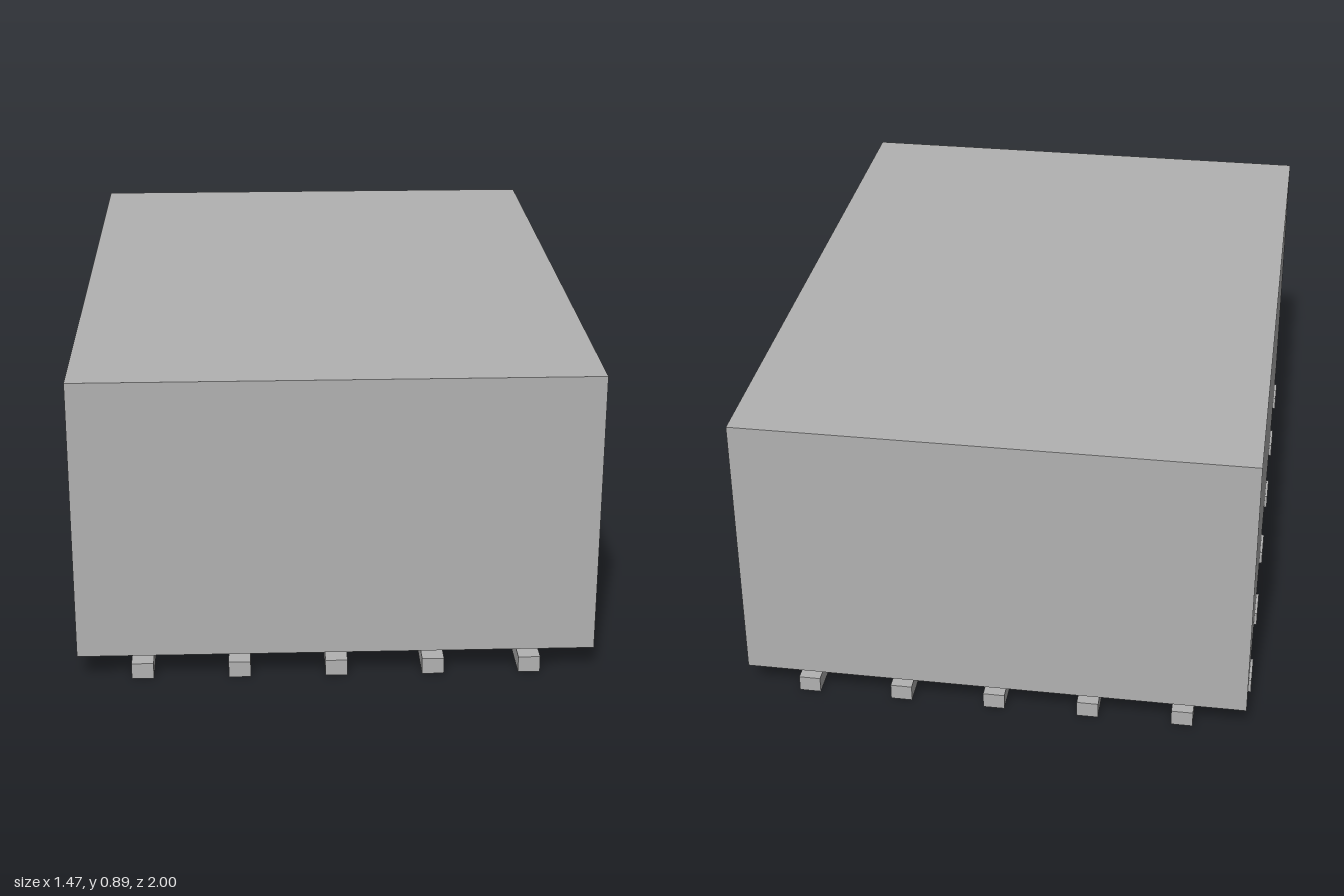
import * as THREE from 'three';

export function createModel() {
  const model = new THREE.Group();
  const grey = new THREE.MeshStandardMaterial({ color: 0xb2b2b2 });
  grey.name = 'grey';

  // Box centred on x and z, spanning y0 to y1
  function addBlock(name, width, depth, y0, y1, x = 0, z = 0) {
    const mesh = new THREE.Mesh(new THREE.BoxGeometry(width, y1 - y0, depth), grey);
    mesh.name = name;
    mesh.position.set(x, (y0 + y1) / 2, z);
    model.add(mesh);
  }

  // Main body
  addBlock('body', 1.456, 2, 0.073, 0.888);

  // Cross beams slightly let into the body and sticking out at the sides
  for (let i = 0; i < 6; i++) {
    addBlock('crossBeam' + (i + 1), 1.47, 0.1, 0.037, 0.079, 0, (i - 2.5) * 0.327);
  }

  // Long runners under the cross beams
  for (let i = 0; i < 5; i++) {
    addBlock('runner' + (i + 1), 0.062, 2, 0, 0.047, (i - 2) * 0.273, 0);
  }

  return model;
}
